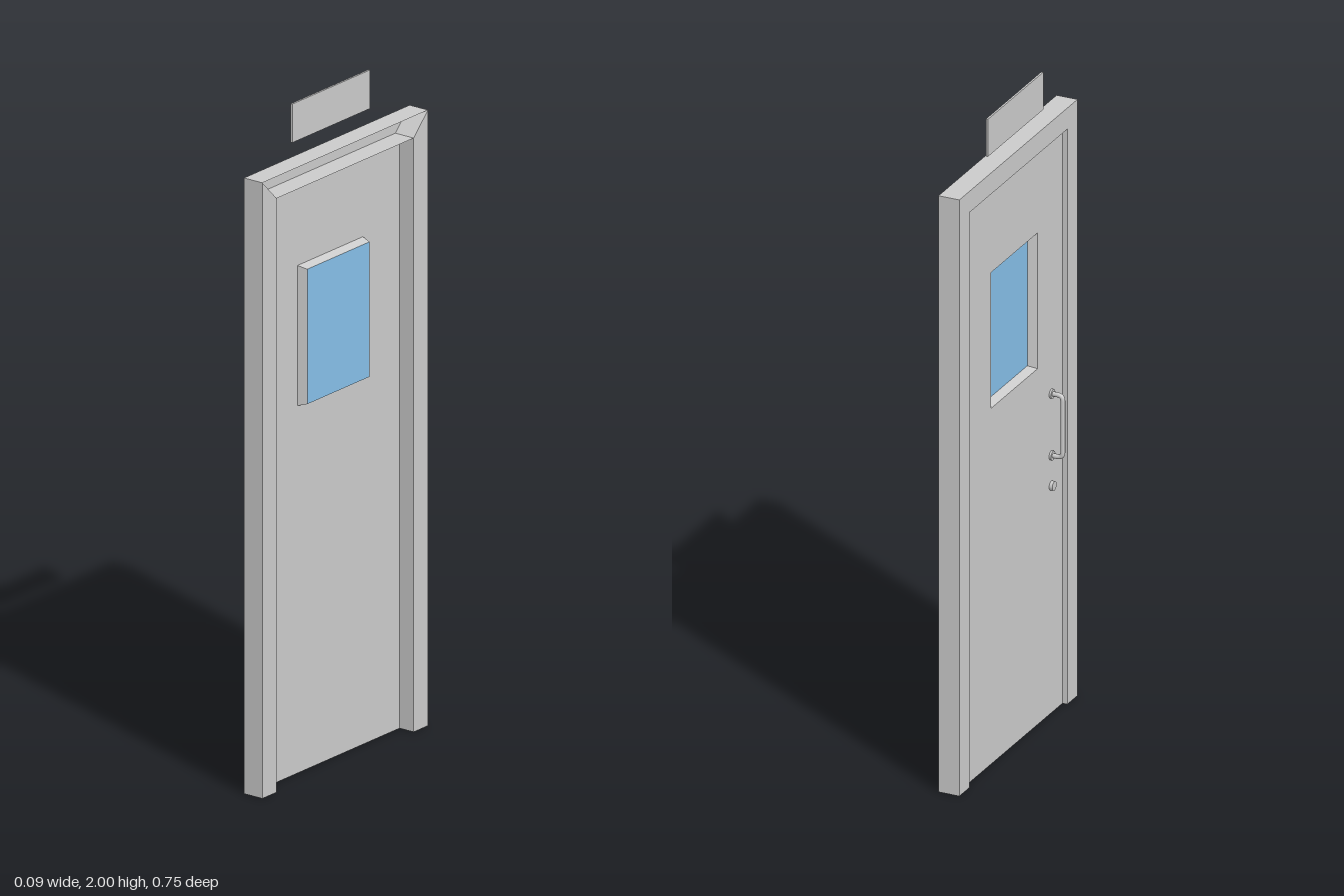
import * as THREE from 'three';

const grey = new THREE.MeshStandardMaterial({ color: 0xcccccc });
const sheet = new THREE.MeshStandardMaterial({ color: 0xcccccc, side: THREE.DoubleSide });
const blue = new THREE.MeshStandardMaterial({ color: 0x86bfe8, side: THREE.DoubleSide });

// frame limits: back/front in x, outer/inner half width in z, top/lintel in y
const BACK = -0.02, FRONT = 0.045, OUT = 0.377, INN = 0.312, TOP = 1.835, LINTEL = 1.77;
const PANEL_X = -0.005, HANDLE_Z = 0.24;

export function createModel() {
  const model = new THREE.Group();
  const add = (name, geometry, material = grey) => {
    const mesh = new THREE.Mesh(geometry, material);
    mesh.name = name;
    model.add(mesh);
    return mesh;
  };
  const shapeOf = (pts) => new THREE.Shape(pts.map(([z, y]) => new THREE.Vector2(z, y)));
  // stands a flat (z, y) outline upright, facing along x
  const upright = (geometry, x) => geometry.rotateY(-Math.PI / 2).translate(x, 0, 0);
  // one open ring of quads between two loops of [x, y, z] points
  const band = (a, b, closed) => {
    const pos = [];
    const n = closed ? a.length : a.length - 1;
    for (let i = 0; i < n; i++) {
      const j = (i + 1) % a.length;
      pos.push(...a[i], ...a[j], ...b[j], ...a[i], ...b[j], ...b[i]);
    }
    const g = new THREE.BufferGeometry();
    g.setAttribute('position', new THREE.Float32BufferAttribute(pos, 3));
    g.computeVertexNormals();
    return g;
  };

  // jambs with mitred tops
  for (const s of [1, -1]) {
    const outline = shapeOf([[s * INN, 0], [s * OUT, 0], [s * OUT, TOP], [s * INN, LINTEL]]);
    const g = new THREE.ExtrudeGeometry(outline, { depth: FRONT - BACK, bevelEnabled: false });
    add(s > 0 ? 'leftJamb' : 'rightJamb', upright(g, FRONT));
  }

  // mitred header: a channel open towards +x
  const edge = (x, y, w) => [[x, y, -w], [x, y, w]];
  const profile = [[FRONT, LINTEL, INN], [BACK, LINTEL, INN], [BACK, TOP, OUT], [FRONT, TOP, OUT]]
    .map(([x, y, w]) => edge(x, y, w));
  add('header', band(profile.map((e) => e[0]), profile.map((e) => e[1]), false), sheet);

  // door leaf with window opening
  const rect = (z0, z1, y0, y1) => [[z0, y0], [z1, y0], [z1, y1], [z0, y1]];
  const opening = rect(-0.145, 0.153, 1.095, 1.513);
  const pane = rect(-0.14, 0.143, 1.103, 1.505);
  const leaf = shapeOf(rect(-INN, INN, 0, LINTEL));
  leaf.holes.push(shapeOf(opening));
  add('doorLeaf', upright(new THREE.ShapeGeometry(leaf), PANEL_X), sheet);

  // window surround standing out from the leaf, with the glass at its face
  const at = (pts, x) => pts.map(([z, y]) => [x, y, z]);
  const GLASS_X = 0.022;
  add('windowSurround', band(at(opening, PANEL_X), at(pane, GLASS_X), true), sheet);
  add('windowGlass', upright(new THREE.ShapeGeometry(shapeOf(pane)), GLASS_X), blue);

  // pull handle with rounded corners
  const [low, high, reach, r] = [0.793, 0.983, -0.041, 0.016];
  const v = (x, y) => new THREE.Vector3(x, y, HANDLE_Z);
  const path = new THREE.CurvePath();
  path.add(new THREE.LineCurve3(v(PANEL_X, low), v(reach + r, low)));
  path.add(new THREE.QuadraticBezierCurve3(v(reach + r, low), v(reach, low), v(reach, low + r)));
  path.add(new THREE.LineCurve3(v(reach, low + r), v(reach, high - r)));
  path.add(new THREE.QuadraticBezierCurve3(v(reach, high - r), v(reach, high), v(reach + r, high)));
  path.add(new THREE.LineCurve3(v(reach + r, high), v(PANEL_X, high)));
  add('pullHandle', new THREE.TubeGeometry(path, 80, 0.007, 12));

  // handle rosettes and lock cylinder
  const disc = (name, y, radius, depth) => {
    const m = add(name, new THREE.CylinderGeometry(radius, radius, depth, 20).rotateZ(Math.PI / 2));
    m.position.set(PANEL_X - depth / 2, y, HANDLE_Z);
  };
  disc('lowerRosette', low, 0.014, 0.006);
  disc('upperRosette', high, 0.014, 0.006);
  disc('lockCylinder', 0.7, 0.014, 0.01);

  // sign plate above the door
  add('signPlate', new THREE.BoxGeometry(0.006, 0.115, 0.354)).position.set(-0.009, 1.9425, -0.002);

  return model;
}
